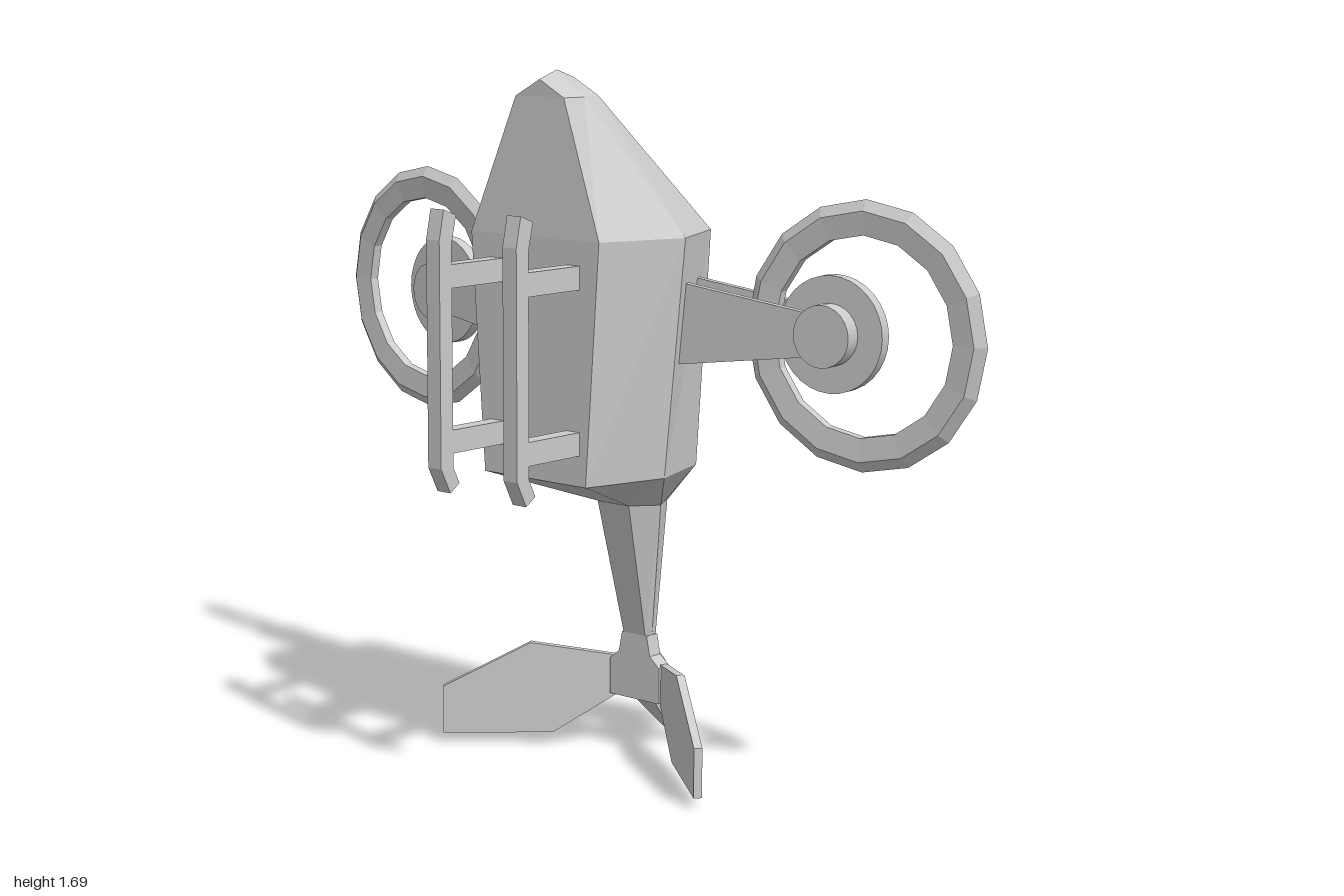
import * as THREE from 'three';

const grey = new THREE.MeshStandardMaterial({ color: 0xcccccc, flatShading: true, side: THREE.DoubleSide });
const smooth = new THREE.MeshStandardMaterial({ color: 0xcccccc });

function add(parent, name, geometry, material = grey) {
  const mesh = new THREE.Mesh(geometry, material);
  mesh.name = name;
  parent.add(mesh);
  return mesh;
}

// Plate cut from a 2D outline, centred on its thickness
function plate(points, depth) {
  const shape = new THREE.Shape(points.map(([x, y]) => new THREE.Vector2(x, y)));
  return new THREE.ExtrudeGeometry(shape, { depth, bevelEnabled: false }).translate(0, 0, -depth / 2);
}

// Skin over six-sided sections, each listed from bottom to top
function loft(rings) {
  const pos = [];
  const tri = (a, b, c) => pos.push(...a, ...b, ...c);
  const n = rings[0].length;
  for (let r = 0; r < rings.length - 1; r++) {
    for (let i = 0; i < n; i++) {
      const j = (i + 1) % n, a = rings[r], b = rings[r + 1];
      tri(a[i], a[j], b[j]);
      tri(a[i], b[j], b[i]);
    }
  }
  const first = rings[0], last = rings[rings.length - 1];
  for (let i = 1; i < n - 1; i++) {
    tri(first[0], first[i + 1], first[i]);
    tri(last[0], last[i], last[i + 1]);
  }
  const g = new THREE.BufferGeometry();
  g.setAttribute('position', new THREE.Float32BufferAttribute(pos, 3));
  g.computeVertexNormals();
  return g;
}

// Hexagonal section: half widths and z of back, middle and front corners
const section = (y, wb, zb, wm, zm, wf, zf, ym = y) => [
  [wf, y, zf], [wm, ym, zm], [wb, y, zb], [-wb, y, zb], [-wm, ym, zm], [-wf, y, zf],
];

export function createModel() {
  const model = new THREE.Group();
  model.name = 'aircraft';

  // Fuselage with tapered nose and ridge
  add(model, 'fuselage', loft([
    section(0.64, 0.07, -0.24, 0.1, -0.18, 0.05, -0.12),
    section(0.74, 0.16, -0.24, 0.22, -0.05, 0.16, 0.16),
    section(1.31, 0.2, -0.24, 0.28, -0.05, 0.2, 0.16),
    section(1.63, 0.075, 0.02, 0.085, 0.08, 0.075, 0.14),
    section(1.67, 0, 0.02, 0, 0.08, 0, 0.14, 1.69),
  ]));

  // Tail boom
  add(model, 'tailBoom', loft([
    section(0.3, 0.035, -0.24, 0.04, -0.22, 0.035, -0.2),
    section(0.64, 0.07, -0.24, 0.1, -0.18, 0.05, -0.12),
  ]));

  // Flared block that carries the fins
  const half = [[0.04, 0.3], [0.05, 0.25], [0.08, 0.225], [0.08, 0.135]];
  const block = [...half, ...half.map(([x, y]) => [-x, y]).reverse()];
  add(model, 'tailBlock', plate(block, 0.04)).position.z = -0.22;

  // Vertical fin: wedge narrowing to a swept rear edge
  const a = [0.035, 0.23, -0.24], b = [-0.035, 0.23, -0.24];
  const top = [0, 0.3, -0.24], mid = [0, 0.21, -0.32], tip = [0, 0, -0.36];
  const low = [0.035, 0.135, -0.23], low2 = [-0.035, 0.135, -0.23];
  const fin = new THREE.BufferGeometry();
  fin.setAttribute('position', new THREE.Float32BufferAttribute([
    top, a, mid, a, low, mid, low, tip, mid,
    top, mid, b, b, mid, low2, low2, mid, tip,
    low, low2, tip, top, b, a, a, b, low2, a, low2, low,
  ].flat(), 3));
  fin.computeVertexNormals();
  add(model, 'verticalFin', fin);

  // Landing skids with turned-in ends and two struts each
  const skidOutline = [
    [0.355, 1.38], [0.315, 1.365], [0.33, 1.3], [0.33, 0.78], [0.31, 0.74],
    [0.34, 0.72], [0.37, 0.78], [0.37, 1.31],
  ];

  for (const s of [1, -1]) {
    const side = s > 0 ? 'left' : 'right';

    // Slanted tail fin
    const finOutline = [[-0.01, 0.23], [0.21, 0.26], [0.43, 0.145], [0.43, 0.025], [0.155, 0.03], [-0.01, 0.135]];
    const tailFin = add(model, side + 'TailFin', plate(finOutline.map(([x, y]) => [s * x, y]), 0.02));
    tailFin.position.set(s * 0.08, 0, -0.22);
    tailFin.rotation.y = -s * 0.686;

    // Skid
    const skid = new THREE.Group();
    skid.name = side + 'Skid';
    skid.position.x = s * 0.12;
    add(skid, 'runner', plate(skidOutline, 0.042).rotateY(-Math.PI / 2));
    for (const y of [0.84, 1.225]) {
      add(skid, 'strut', new THREE.BoxGeometry(0.042, 0.055, 0.2)).position.set(0, y, 0.24);
    }
    model.add(skid);

    // Rotor unit: ring, wheel and hub held between two arms
    const rotor = new THREE.Group();
    rotor.name = side + 'Rotor';
    rotor.position.set(s * 0.61, 1.105, -0.178);
    rotor.rotation.y = s * 0.11;
    const profile = [[0.23, -0.012], [0.285, -0.018], [0.31, 0], [0.285, 0.018], [0.23, 0.012], [0.23, -0.012]];
    const ring = new THREE.LatheGeometry(profile.map(([x, y]) => new THREE.Vector2(x, y)), 16);
    add(rotor, 'ring', ring.rotateX(Math.PI / 2)).position.x = s * 0.08;
    add(rotor, 'wheel', new THREE.CylinderGeometry(0.135, 0.135, 0.03, 32).rotateX(Math.PI / 2), smooth);
    add(rotor, 'hub', new THREE.CylinderGeometry(0.072, 0.072, 0.115, 24).rotateX(Math.PI / 2), smooth);
    const arm = [[0, 0.045], [-0.41, 0.1], [-0.41, -0.1], [0, -0.045]];
    for (const z of [-0.043, 0.043]) {
      add(rotor, 'arm', plate(arm.map(([x, y]) => [s * x, y]), 0.02)).position.z = z;
    }
    model.add(rotor);
  }
  return model;
}
